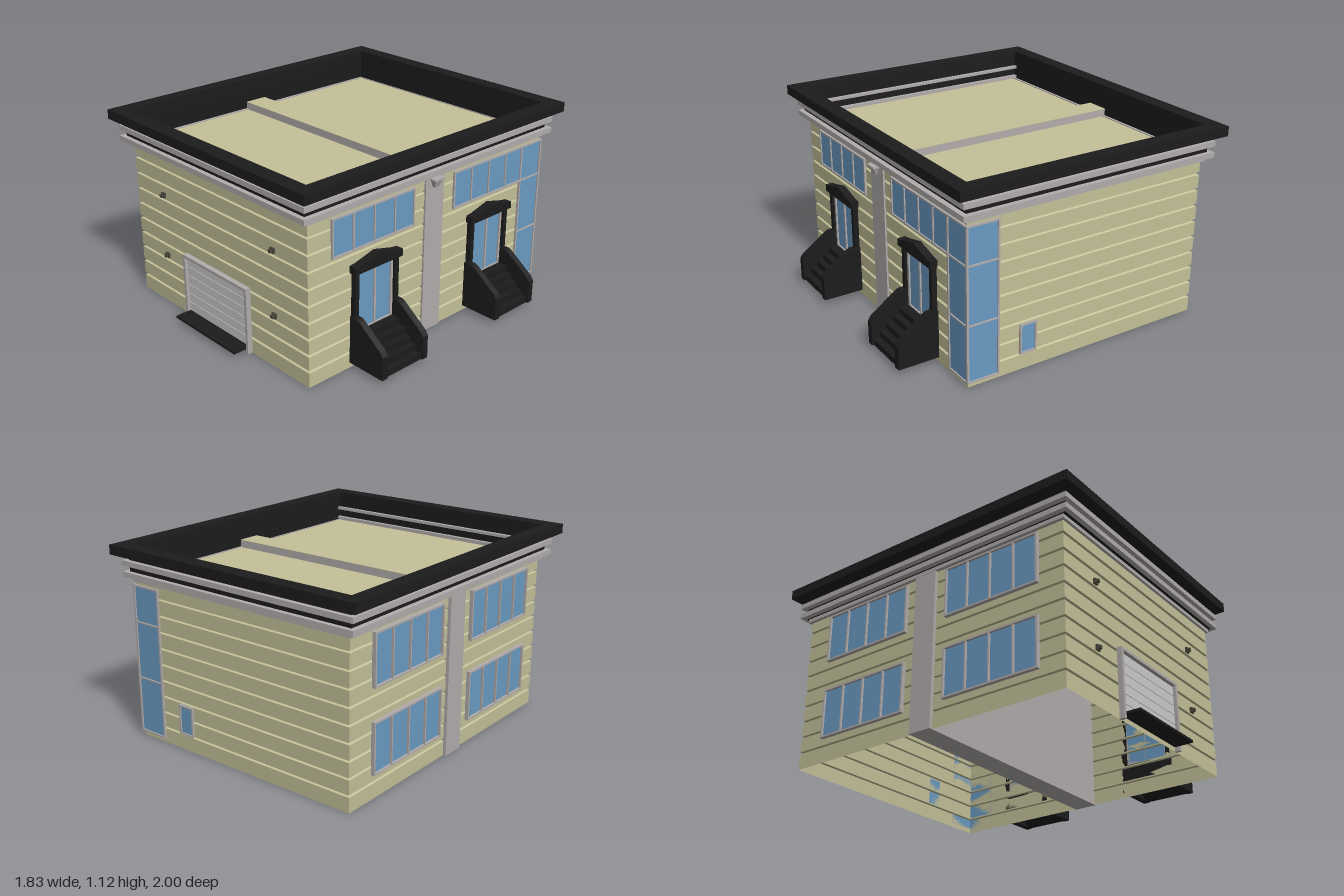
import * as THREE from 'three';

const mat = (color, side = THREE.FrontSide) =>
  new THREE.MeshStandardMaterial({ color, side, flatShading: true });
const tan = mat(0xc3c098, THREE.DoubleSide);
const trim = mat(0xb2acac);
const black = mat(0x1c1c1c);
const glass = mat(0x6a9ac2);
const grey = mat(0xcccccc);
const bronze = mat(0x4a463c);

// Wall planes of the building
const X0 = -0.82, X1 = 0.672, Z0 = -0.91, Z1 = 0.89;

function add(parent, name, geo, material) {
  const m = new THREE.Mesh(geo, material);
  m.name = name;
  parent.add(m);
  return m;
}

function box(parent, name, material, x0, x1, y0, y1, z0, z1) {
  const m = add(parent, name, new THREE.BoxGeometry(x1 - x0, y1 - y0, z1 - z0), material);
  m.position.set((x0 + x1) / 2, (y0 + y1) / 2, (z0 + z1) / 2);
  return m;
}

const poly = (pts) => new THREE.Shape(pts.map(([x, y]) => new THREE.Vector2(x, y)));
const rect = (x0, x1, y0, y1) => poly([[x0, y0], [x1, y0], [x1, y1], [x0, y1]]);
const extrude = (shape, depth) => new THREE.ExtrudeGeometry(shape, { depth, bevelEnabled: false });

// Rectangular ring running round the building
function ring(parent, name, material, [x0, x1, z0, z1], [a0, a1, b0, b1], y0, y1) {
  const s = rect(x0, x1, -z1, -z0);
  s.holes.push(rect(a0, a1, -b1, -b0));
  const m = add(parent, name, extrude(s, y1 - y0), material);
  m.rotation.x = -Math.PI / 2;
  m.position.y = y0;
  return m;
}

// Siding: rectangular loops lofted up the wall, pinched in at each groove
function siding() {
  const prof = [[0, 0]];
  for (let k = 1; k <= 9; k++) {
    const y = k * 0.0942;
    prof.push([y - 0.009, 0], [y - 0.004, 0.011], [y + 0.004, 0.011], [y + 0.009, 0]);
  }
  prof.push([0.945, 0]);
  const loop = ([y, d]) => [
    [X0 + d, y, Z1 - d], [X1 - d, y, Z1 - d], [X1 - d, y, Z0 + d], [X0 + d, y, Z0 + d]];
  const pos = [];
  for (let i = 0; i + 1 < prof.length; i++) {
    const a = loop(prof[i]), b = loop(prof[i + 1]);
    for (let j = 0; j < 4; j++) {
      const n = (j + 1) % 4;
      pos.push(...a[j], ...a[n], ...b[n], ...a[j], ...b[n], ...b[j]);
    }
  }
  const g = new THREE.BufferGeometry();
  g.setAttribute('position', new THREE.Float32BufferAttribute(pos, 3));
  g.computeVertexNormals();
  return g;
}

// Framed window in local x/y facing +z; xs and ys are the bar positions
function windowUnit(name, xs, ys, depth = 0.012, bar = 0.008) {
  const g = new THREE.Group();
  g.name = name;
  const nx = xs.length - 1, ny = ys.length - 1;
  const frame = rect(xs[0], xs[nx], ys[0], ys[ny]);
  const half = (i, n) => (i === 0 || i === n ? bar * 1.3 : bar / 2);
  for (let i = 0; i < nx; i++) for (let j = 0; j < ny; j++)
    frame.holes.push(rect(xs[i] + half(i, nx), xs[i + 1] - half(i + 1, nx),
      ys[j] + half(j, ny), ys[j + 1] - half(j + 1, ny)));
  add(g, 'windowFrame', extrude(frame, depth), trim);
  box(g, 'glass', glass, xs[0] + 0.004, xs[nx] - 0.004, ys[0] + 0.004, ys[ny] - 0.004, 0, depth * 0.4);
  return g;
}
const split = (a, b, n) => Array.from({ length: n + 1 }, (_, i) => a + (b - a) * i / n);

function onWall(root, unit, side, along) {
  const place = {
    right: [X1, along, Math.PI / 2], left: [X0, along, -Math.PI / 2], back: [along, Z0, Math.PI],
  }[side];
  unit.position.set(place[0], 0, place[1]);
  unit.rotation.y = place[2];
  root.add(unit);
}

// Side entrance: surround, hood, glazed door and stairs; x points outward
function entrance(zc) {
  const g = new THREE.Group();
  g.name = 'entrance';
  g.position.set(X1, 0, zc);

  const surround = rect(-0.158, 0.158, 0.05, 0.57);
  surround.holes.push(rect(-0.13, 0.13, 0.2, 0.556));
  add(g, 'doorSurround', extrude(surround, 0.03), black).rotation.y = Math.PI / 2;

  const hood = poly([[-0.17, 0.56], [0.17, 0.56], [0.17, 0.6], [0.13, 0.605], [0, 0.638],
    [-0.13, 0.605], [-0.17, 0.6]]);
  add(g, 'doorHood', extrude(hood, 0.046), black).rotation.y = Math.PI / 2;

  const door = windowUnit('door', [-0.13, 0, 0.13], [0.2, 0.556], 0.014, 0.012);
  door.rotation.y = Math.PI / 2;
  g.add(door);

  // Stepped flight with a sloping underside
  const pts = [[0, 0.17], [0.2, 0.03], [0.232, 0.03]];
  for (let i = 0; i < 5; i++) {
    const x = 0.232 - i * 0.0405, y = 0.066 + i * 0.036;
    pts.push([x, y], [i === 4 ? 0 : x - 0.0405, y]);
  }
  add(g, 'steps', extrude(poly(pts), 0.27), black).position.z = -0.135;

  const cheek = poly([[0, 0.03], [0.242, 0.03], [0.242, 0.165], [0.225, 0.19],
    [0.075, 0.298], [0.055, 0.308], [0, 0.308]]);
  for (const z of [-0.168, 0.13])
    add(g, 'stairSide', extrude(cheek, 0.038), black).position.z = z;
  return g;
}

export function createModel() {
  const root = new THREE.Group();
  root.name = 'building';

  // Walls, roof deck and the cross wall that ends in the pilasters
  add(root, 'sidingWalls', siding(), tan);
  const inner = [-0.83, 0.675, -0.91, 0.893];
  box(root, 'roofDeck', tan, inner[0], inner[1], 0.93, 0.94, inner[2], inner[3]);
  box(root, 'crossWall', trim, -0.838, 0.682, 0, 0.983, -0.073, 0.068);
  box(root, 'crossWallCap', tan, inner[0], inner[1], 0.983, 0.986, -0.073, 0.068);

  // Cornice and parapet
  ring(root, 'frieze', trim, [-0.84, 0.685, -0.922, 0.905], [-0.815, 0.667, -0.905, 0.885], 0.918, 0.945);
  ring(root, 'parapet', black, [-0.845, 0.69, -0.93, 0.92], inner, 0.94, 1.075);
  for (const y of [0.943, 1.007]) {
    ring(root, 'corniceBand', trim, [-0.875, 0.72, -0.957, 0.947], [-0.84, 0.685, -0.92, 0.91], y, y + 0.03);
    box(root, 'innerBand', trim, inner[0], inner[1], y + 0.005, y + 0.022, 0.87, 0.895);
  }
  ring(root, 'parapetCap', black, [-0.92, 0.765, -1, 0.985], inner, 1.07, 1.125);

  // Side windows
  for (const c of [0.443, -0.452])
    onWall(root, windowUnit('upperWindow', split(-0.294, 0.294, 4), [0.68, 0.9]), 'right', c);
  for (const c of [0.44, -0.435]) for (const y of [0.14, 0.61])
    onWall(root, windowUnit('leftWindow', split(-0.3, 0.3, 4), [y, y + 0.29], 0.022), 'left', c);

  // Tall window wrapping the back corner, and the small back window
  const rows = [0.025, 0.355, 0.685, 0.9];
  onWall(root, windowUnit('cornerWindowSide', [-0.094, 0.092], rows), 'right', -0.83);
  onWall(root, windowUnit('cornerWindowBack', [-0.097, 0.097], rows), 'back', 0.587);
  onWall(root, windowUnit('smallWindow', [-0.052, 0.052], [0.095, 0.27]), 'back', 0.31);

  // Entrances
  for (const z of [0.44, -0.455]) root.add(entrance(z));

  // Garage door with frame, panels and sill
  const frame = poly([[-0.362, 0], [-0.344, 0], [-0.344, 0.378], [0.19, 0.378], [0.19, 0],
    [0.208, 0], [0.208, 0.395], [-0.362, 0.395]]);
  add(root, 'garageFrame', extrude(frame, 0.03), trim).position.z = Z1;
  box(root, 'garageDoorBacking', trim, -0.344, 0.19, 0.035, 0.378, Z1 - 0.012, Z1 + 0.006);
  for (let i = 0; i < 6; i++) {
    const y = 0.04 + i * 0.0563;
    box(root, 'garagePanel', grey, -0.344, 0.19, y, y + 0.0533, Z1, Z1 + 0.011);
  }
  box(root, 'garageSill', black, -0.344, 0.19, 0.026, 0.04, Z1, 1);

  // Wall lamps on the front
  for (const x of [-0.547, 0.41]) for (const y of [0.315, 0.69]) {
    box(root, 'lampPlate', bronze, x - 0.015, x + 0.015, y - 0.015, y + 0.015, Z1 - 0.005, Z1 + 0.012);
    box(root, 'lampHead', bronze, x - 0.009, x + 0.009, y - 0.009, y + 0.009, Z1, Z1 + 0.026);
  }

  // Tapered rain head on the right pilaster
  const head = new THREE.CylinderGeometry(0.05, 0.022, 0.05, 4, 1).rotateY(Math.PI / 4);
  const rainHead = add(root, 'rainHead', head, trim);
  rainHead.position.set(0.682, 0.89, 0);
  box(root, 'rainHeadRim', trim, 0.68, 0.72, 0.908, 0.918, -0.038, 0.038);
  return root;
}
